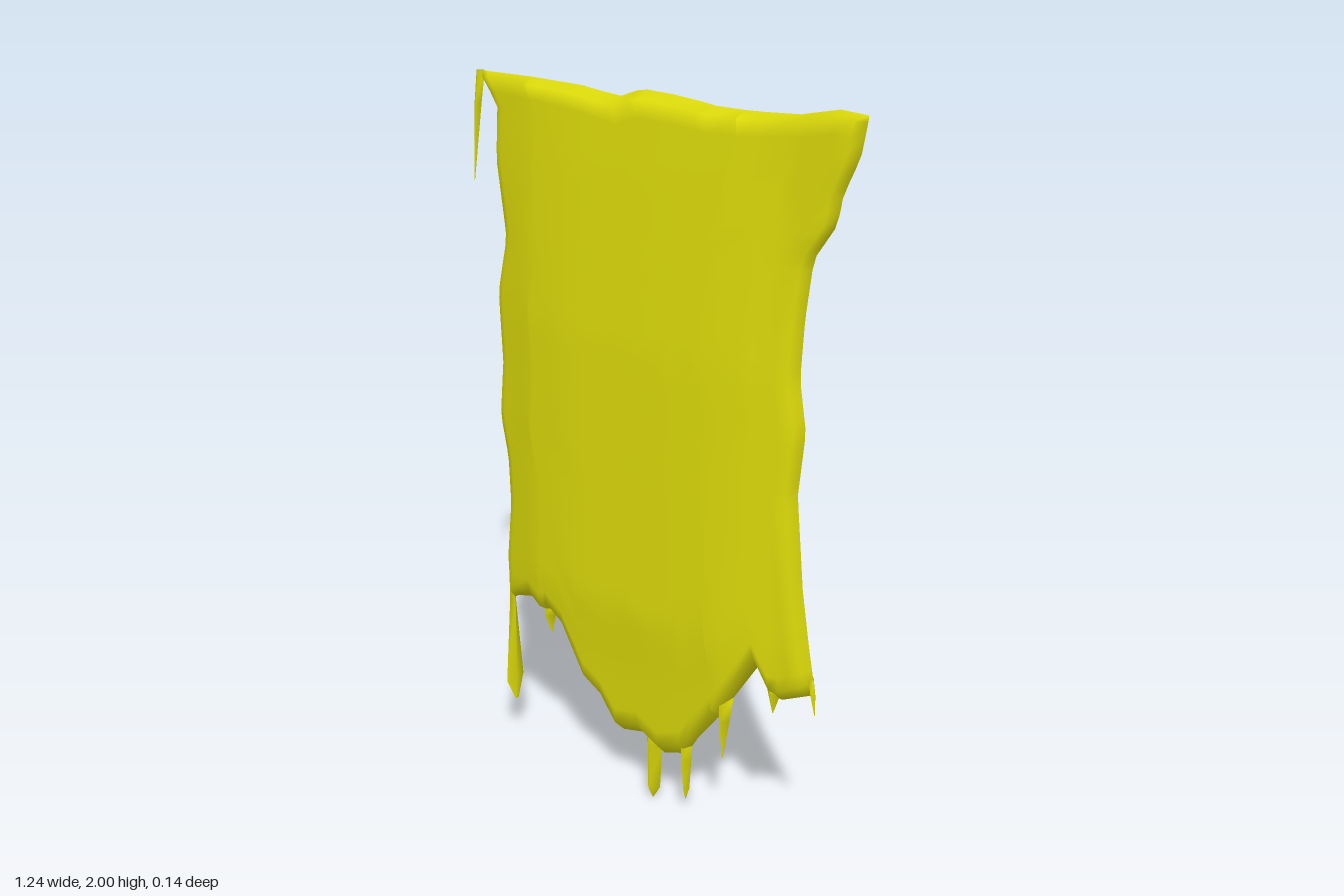
import * as THREE from 'three';
import { mergeVertices } from 'three/addons/utils/BufferGeometryUtils.js';

// Piecewise-linear lookup in a list of [key, value] pairs, ascending keys
function lookup(table, k) {
  if (k <= table[0][0]) return table[0][1];
  for (let i = 1; i < table.length; i++) {
    const [k0, a] = table[i - 1], [k1, b] = table[i];
    if (k <= k1) return a + (b - a) * (k - k0) / (k1 - k0);
  }
  return table[table.length - 1][1];
}

// Ragged edges: side edges as [y, x], top and bottom as [x, y]
const LEFT = [[0.47, -0.535], [0.6, -0.54], [0.78, -0.515], [0.92, -0.52], [1.04, -0.55], [1.2, -0.53],
  [1.4, -0.54], [1.53, -0.505], [1.57, -0.5], [1.76, -0.535], [1.9, -0.525], [1.985, -0.59]];
const RIGHT = [[0.52, 0.54], [0.65, 0.515], [0.8, 0.49], [1.05, 0.465], [1.22, 0.482], [1.35, 0.46],
  [1.5, 0.468], [1.65, 0.487], [1.74, 0.548], [1.81, 0.56], [1.9, 0.602], [1.99, 0.618]];
const TOP = [[-0.59, 1.985], [-0.4, 1.985], [-0.23, 1.98], [-0.11, 1.965], [-0.03, 1.99], [0.1, 1.985],
  [0.21, 1.97], [0.42, 1.975], [0.54, 2], [0.615, 1.995]];
const BOTTOM = [[-0.53, 0.46], [-0.5, 0.48], [-0.42, 0.5], [-0.37, 0.47], [-0.34, 0.49], [-0.28, 0.45],
  [-0.21, 0.3], [-0.15, 0.26], [-0.1, 0.18], [-0.02, 0.2], [0.05, 0.16], [0.13, 0.19], [0.165, 0.25],
  [0.24, 0.35], [0.29, 0.43], [0.38, 0.56], [0.41, 0.47], [0.44, 0.47], [0.54, 0.52]];
// Half thickness across the width, and its scale over the height
const DEPTH = [[-0.55, 0.012], [-0.48, 0.025], [-0.4, 0.053], [-0.25, 0.071], [0.05, 0.071], [0.28, 0.06],
  [0.44, 0.024], [0.6, 0.022]];
const FULLNESS = [[0.18, 0.5], [0.42, 0.75], [0.6, 1], [1.35, 1], [1.8, 0.75], [2, 0.6]];

function clothGeometry() {
  // Columns follow the torn lower edge; narrow outer ones form the rounded rim
  const us = BOTTOM.map(([x]) => (x + 0.53) / 1.07);
  us.push(0.012, 0.16, 0.45, 0.72, 0.938, 0.98);
  us.sort((a, b) => a - b);
  const vs = [0, 0.022];
  for (let i = 1; i < 40; i++) vs.push(0.022 + 0.968 * i / 40);
  vs.push(0.99, 1);
  const pos = [], index = [], nu = us.length, nv = vs.length;
  for (const side of [1, -1]) {
    const base = pos.length / 3;
    vs.forEach((v, j) => us.forEach((u, i) => {
      const low = lookup(BOTTOM, -0.53 + 1.07 * u), high = lookup(TOP, -0.59 + 1.205 * u);
      const y = low + (high - low) * v;
      const l = lookup(LEFT, y), r = lookup(RIGHT, y);
      const x = l + (r - l) * u;
      const rim = i === 0 || j === 0 || i === nu - 1 || j === nv - 1;
      // The right edge stays thicker than the left one
      const thinnest = x > 0 ? 0.022 : 0.012;
      pos.push(x, y, rim ? 0 : side * Math.max(thinnest, lookup(DEPTH, x) * lookup(FULLNESS, y)));
    }));
    for (let j = 0; j < nv - 1; j++) for (let i = 0; i < nu - 1; i++) {
      const a = base + j * nu + i, b = a + 1, c = a + nu, d = c + 1;
      if (side > 0) index.push(a, b, d, a, d, c);
      else index.push(a, d, b, a, c, d);
    }
  }
  let g = new THREE.BufferGeometry();
  g.setAttribute('position', new THREE.Float32BufferAttribute(pos, 3));
  g.setIndex(index);
  g = mergeVertices(g, 1e-4);
  g.computeVertexNormals();
  return g;
}

// Hanging thread: diamond sections [x, y, halfWidth, halfDepth] from top to tip
function threadGeometry(sections) {
  const pos = [], index = [];
  for (const [x, y, w, d] of sections) {
    pos.push(x + w, y, 0, x, y, d, x - w, y, 0, x, y, -d);
  }
  for (let s = 0; s < sections.length - 1; s++) for (let k = 0; k < 4; k++) {
    const a = s * 4 + k, b = s * 4 + (k + 1) % 4;
    index.push(a, b + 4, a + 4, a, b, b + 4);
  }
  // Close the top and the tip
  const e = (sections.length - 1) * 4;
  index.push(0, 3, 2, 0, 2, 1, e, e + 1, e + 2, e, e + 2, e + 3);
  const g = new THREE.BufferGeometry();
  g.setAttribute('position', new THREE.Float32BufferAttribute(pos, 3));
  g.setIndex(index);
  g.computeVertexNormals();
  return g;
}

const THREADS = {
  centreThread: [[0.012, 0.26, 0.03, 0.03], [0.012, 0.18, 0.027, 0.03], [0.008, 0.04, 0.022, 0.025], [0.005, 0, 0.002, 0.002]],
  innerRightThread: [[0.125, 0.26, 0.025, 0.03], [0.125, 0.17, 0.015, 0.022], [0.125, 0.08, 0.011, 0.015], [0.122, 0.04, 0.001, 0.001]],
  middleRightThread: [[0.255, 0.42, 0.028, 0.03], [0.252, 0.34, 0.018, 0.022], [0.248, 0.22, 0.001, 0.001]],
  outerRightThread: [[0.41, 0.53, 0.028, 0.02], [0.412, 0.48, 0.02, 0.018], [0.41, 0.42, 0.001, 0.001]],
  rightCornerThread: [[0.525, 0.56, 0.008, 0.012], [0.534, 0.51, 0.006, 0.01], [0.54, 0.46, 0.001, 0.001]],
  shortLeftThread: [[-0.378, 0.52, 0.034, 0.03], [-0.378, 0.46, 0.02, 0.022], [-0.375, 0.4, 0.001, 0.001]],
  longLeftThread: [[-0.528, 0.58, 0.012, 0.012], [-0.53, 0.46, 0.01, 0.012], [-0.531, 0.2, 0.009, 0.035], [-0.526, 0.13, 0.002, 0.006]],
  topLeftThread: [[-0.582, 1.985, 0.015, 0.012], [-0.596, 1.9, 0.013, 0.012], [-0.62, 1.69, 0.001, 0.001]],
};

export function createModel() {
  const group = new THREE.Group();
  group.name = 'tatteredBanner';
  const yellowCloth = new THREE.MeshStandardMaterial({ color: 0xdedc0a });
  yellowCloth.name = 'yellowCloth';

  const cloth = new THREE.Mesh(clothGeometry(), yellowCloth);
  cloth.name = 'cloth';
  group.add(cloth);

  for (const [name, sections] of Object.entries(THREADS)) {
    const thread = new THREE.Mesh(threadGeometry(sections), yellowCloth);
    thread.name = name;
    group.add(thread);
  }
  return group;
}
